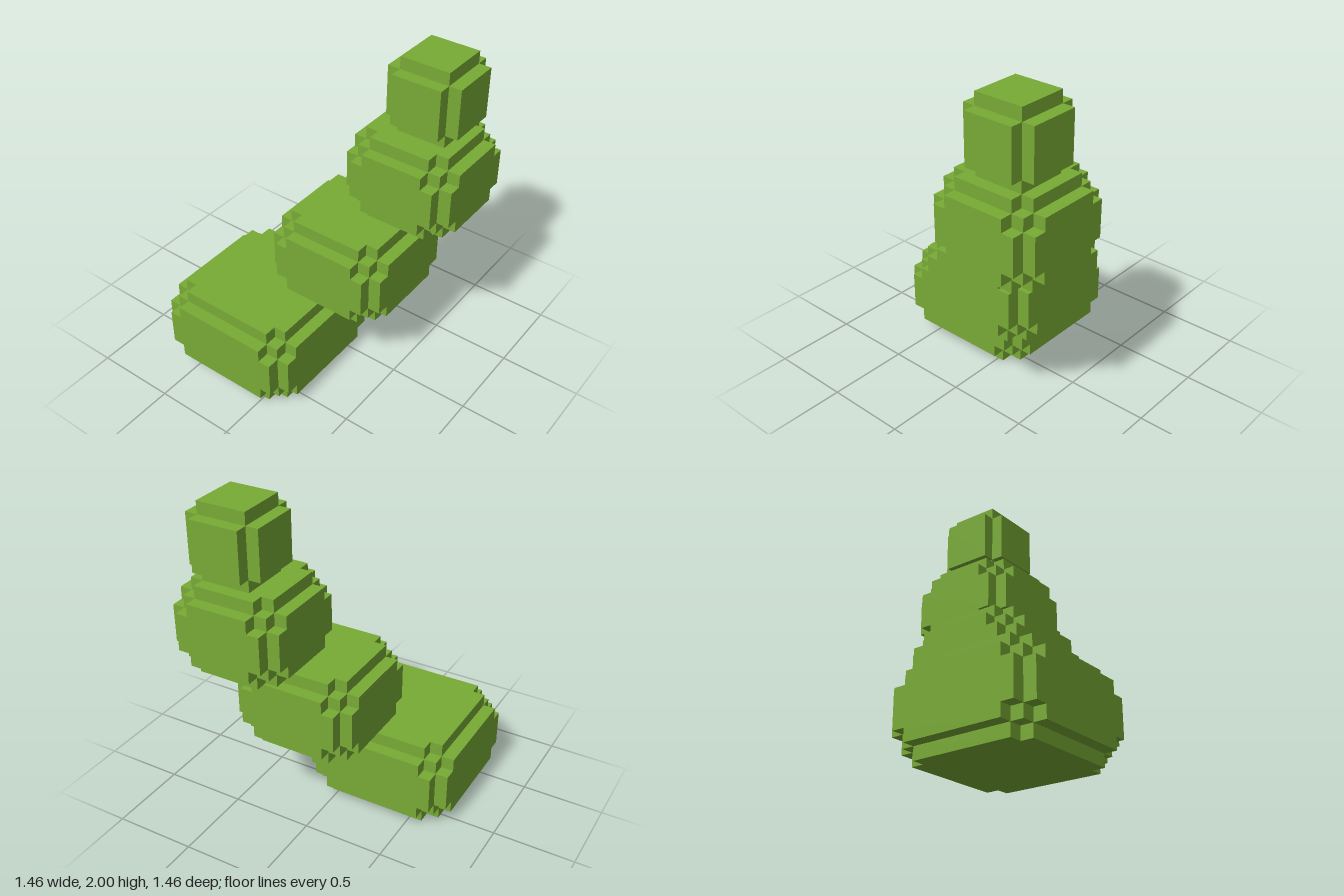
import * as THREE from 'three';

const U = 1 / 13; // edge of one block

// Four-fold symmetric outline from the points of one corner
function outline(corner) {
  const points = [];
  let pts = corner;
  for (let i = 0; i < 4; i++) {
    points.push(...pts.map(([x, y]) => new THREE.Vector2(x * U, y * U)));
    pts = pts.map(([x, y]) => [-y, x]);
  }
  return new THREE.Shape(points);
}

// Corner profiles for a layer of half-width h
const square = (h) => [[h, h]];
const notched = (h) => [[h, h - 1], [h - 1, h - 1], [h - 1, h]];
const stepped = (h) => [[h, h - 2], [h - 1, h - 2], [h - 1, h - 1], [h - 2, h - 1], [h - 2, h]];

export function createModel() {
  const model = new THREE.Group();
  model.name = 'leaningBlockStack';
  const green = new THREE.MeshStandardMaterial({ color: 0x78aa35 });
  green.name = 'leafGreen';

  // Stack of extruded layers: [corner profile, height in blocks]
  function boulder(name, centre, bottom, layers) {
    const group = new THREE.Group();
    group.name = name;
    let y = 0;
    layers.forEach(([corner, height], i) => {
      const geometry = new THREE.ExtrudeGeometry(outline(corner), { depth: height * U, bevelEnabled: false });
      geometry.rotateX(-Math.PI / 2);
      const mesh = new THREE.Mesh(geometry, green);
      mesh.name = `${name}Layer${i + 1}`;
      mesh.position.y = y * U;
      group.add(mesh);
      y += height;
    });
    group.position.set(centre * U, bottom * U, centre * U);
    model.add(group);
  }

  // Rounded segments, each seven blocks high
  const rounded = (h) => [
    [notched(h - 1), 1], [stepped(h), 1], [notched(h), 3], [stepped(h), 1], [notched(h - 1), 1],
  ];
  boulder('baseSegment', -3.5, 0, rounded(6));
  boulder('lowerSegment', 1.5, 6, rounded(5));
  boulder('upperSegment', 5, 13, rounded(4.5));

  // Small tip
  boulder('tipSegment', 5.5, 20, [[square(2), 1], [notched(3), 4], [square(2), 1]]);

  return model;
}
